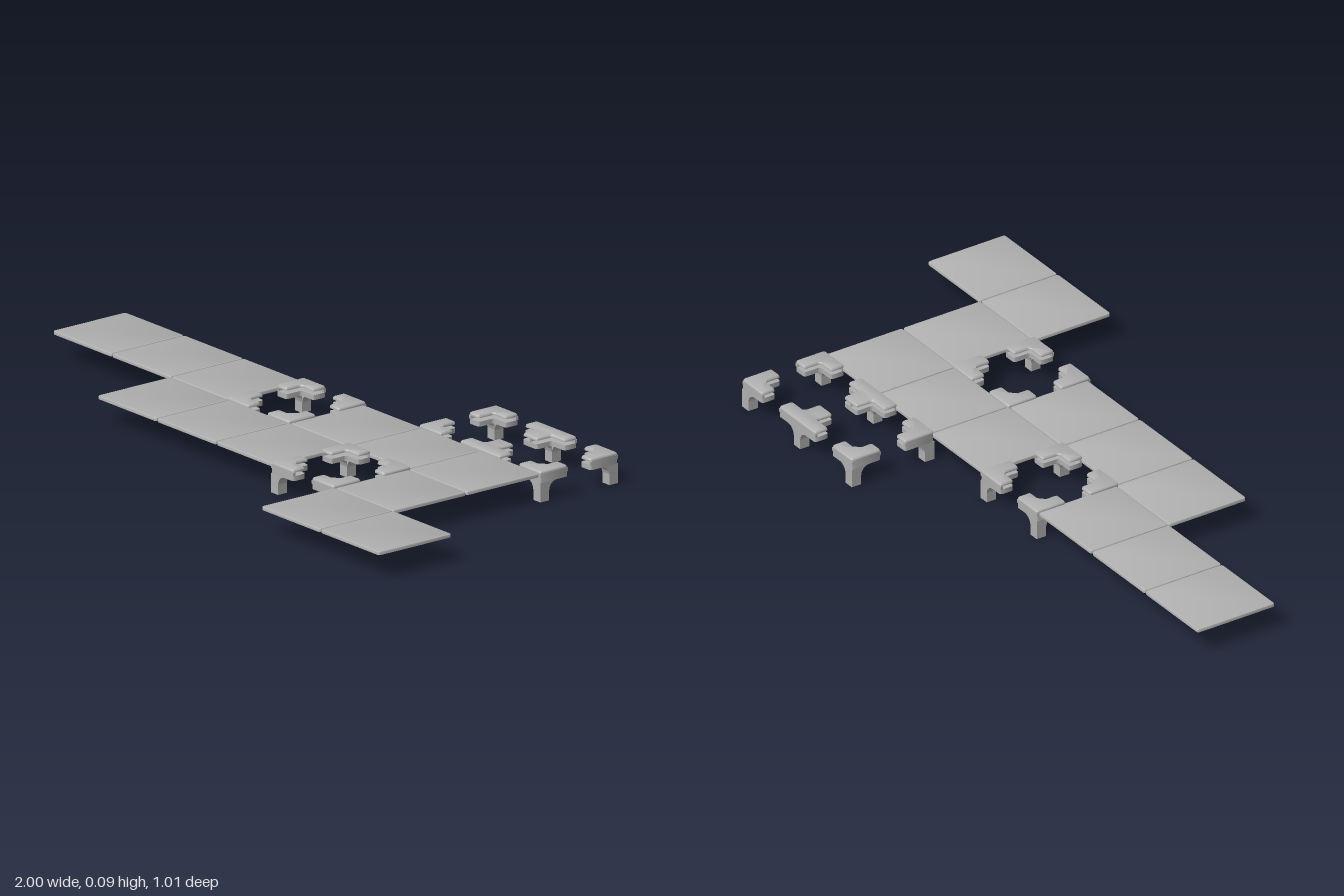
import * as THREE from 'three';
import { toCreasedNormals } from 'three/addons/utils/BufferGeometryUtils.js';

const grey = new THREE.MeshStandardMaterial({ color: 0xb0b0b0 });
grey.name = 'grey plastic';

const PITCH = 0.2504, TILE = 0.247, LIP = 0.007, Z_SHIFT = 0.0025;
const Y_ARM = 0.054, Y_SLOT = 0.068, Y_CAP = 0.0775, Y_TOP = 0.0865;
const ARM = 0.094, CAP_W = 0.043, LEG = 0.03;

// Closed outline with every corner rounded by r
function roundedOutline(points, r) {
  const p = points.map(([x, y]) => new THREE.Vector2(x, y));
  const shape = new THREE.Shape();
  p.forEach((c, i) => {
    const toward = (q) => c.clone().add(q.clone().sub(c).setLength(r));
    const a = toward(p[(i + p.length - 1) % p.length]);
    const b = toward(p[(i + 1) % p.length]);
    if (i === 0) shape.moveTo(a.x, a.y);
    else shape.lineTo(a.x, a.y);
    shape.quadraticCurveTo(c.x, c.y, b.x, b.y);
  });
  shape.closePath();
  return shape;
}

// Horizontal slab from a plan outline (x, z), with its top edge rounded
function slab(shape, y0, y1, bevel) {
  const depth = y1 - y0 - bevel;
  const geo = new THREE.ExtrudeGeometry(shape, {
    depth, curveSegments: 5, bevelEnabled: bevel > 0,
    bevelSize: bevel, bevelThickness: bevel, bevelOffset: -bevel, bevelSegments: 4,
  });
  const pos = geo.attributes.position;
  for (let i = 0; i < pos.count; i++) pos.setZ(i, Math.min(pos.getZ(i), depth));
  geo.rotateX(Math.PI / 2).translate(0, y1 - bevel, 0);
  return toCreasedNormals(geo, 0.6);
}

// Leg with a concave fillet running out under one arm
function bracketGeometry() {
  const s = new THREE.Shape();
  const r = 0.027;
  s.moveTo(0, 0);
  s.lineTo(LEG, 0);
  s.lineTo(LEG, Y_ARM - r);
  s.absarc(LEG + r, Y_ARM - r, r, Math.PI, Math.PI / 2, true);
  s.lineTo(0, Y_ARM);
  s.closePath();
  const geo = new THREE.ExtrudeGeometry(s, { depth: LEG, bevelEnabled: false, curveSegments: 8 });
  return toCreasedNormals(geo, 0.6);
}

function add(group, name, geo) {
  const mesh = new THREE.Mesh(geo, grey);
  mesh.name = name;
  group.add(mesh);
}

const cornerPlan = (w) => [[0, 0], [ARM, 0], [ARM, w], [w, w], [w, ARM], [0, ARM]];
const teePlan = (w, s) => [
  [-0.085, 0], [0.085, 0], [0.085, w], [s, w], [s, ARM], [-s, ARM], [-s, w], [-0.085, w],
];

// Slotted head: lower flange, thin web beside the slot, rounded cap
function addHead(group, wide, thin) {
  add(group, 'lowerFlange', slab(roundedOutline(wide, 0.009), Y_ARM, Y_SLOT, 0));
  add(group, 'slotWeb', slab(roundedOutline(thin, 0.002), Y_SLOT, Y_CAP, 0));
  add(group, 'topCap', slab(roundedOutline(wide, 0.009), Y_CAP, Y_TOP, 0.007));
}

// L-shaped connector, outer corner at the origin, arms along +x and +z
function makeCorner() {
  const g = new THREE.Group();
  g.name = 'cornerConnector';
  addHead(g, cornerPlan(CAP_W), cornerPlan(0.0085));
  add(g, 'legAcross', bracketGeometry());
  add(g, 'legAlong', bracketGeometry().rotateY(-Math.PI / 2).translate(LEG, 0, 0));
  return g;
}

// T-shaped connector, arms along x and stem along +z
function makeTee() {
  const g = new THREE.Group();
  g.name = 'teeConnector';
  addHead(g, teePlan(CAP_W, 0.03), teePlan(0.0085, 0.0025));
  const h = LEG / 2;
  add(g, 'legLeft', bracketGeometry().translate(-h, 0, 0));
  add(g, 'legRight', bracketGeometry().rotateY(Math.PI).translate(h, 0, LEG));
  add(g, 'legStem', bracketGeometry().rotateY(-Math.PI / 2).translate(h, 0, 0));
  return g;
}

export function createModel() {
  const model = new THREE.Group();
  model.name = 'panelsAndConnectors';
  const place = (part, x, z, turn = 0) => {
    part.position.set(x, 0, z + Z_SHIFT);
    part.rotation.y = turn;
    model.add(part);
  };

  // Square panels: [row, columns]
  const h = TILE / 2;
  const tileGeo = slab(roundedOutline([[-h, -h], [h, -h], [h, h], [-h, h]], 0.008), Y_SLOT, Y_CAP, 0.002);
  const rows = [[-1, [-4, -3, -2, 0, 1, 2]], [0, [-2, -1, 0, 2]], [1, [2, 3]]];
  for (const [row, columns] of rows) {
    for (const col of columns) {
      const tile = new THREE.Mesh(tileGeo, grey);
      tile.name = 'panel';
      place(tile, (col + 0.5) * PITCH, (row + 0.5) * PITCH);
    }
  }

  // Sets of four corners around one or two cells: [column, row, columns wide]
  for (const [col, row, wide] of [[-1, -1, 1], [1, 0, 1], [1, -2, 2]]) {
    const x0 = col * PITCH - LIP, x1 = (col + wide) * PITCH + LIP;
    const z0 = row * PITCH - LIP, z1 = (row + 1) * PITCH + LIP;
    place(makeCorner(), x0, z0);
    place(makeCorner(), x0, z1, Math.PI / 2);
    place(makeCorner(), x1, z1, Math.PI);
    place(makeCorner(), x1, z0, -Math.PI / 2);
    if (wide === 2) {
      place(makeTee(), (x0 + x1) / 2, z0);
      place(makeTee(), (x0 + x1) / 2, z1, Math.PI);
    }
  }
  return model;
}
